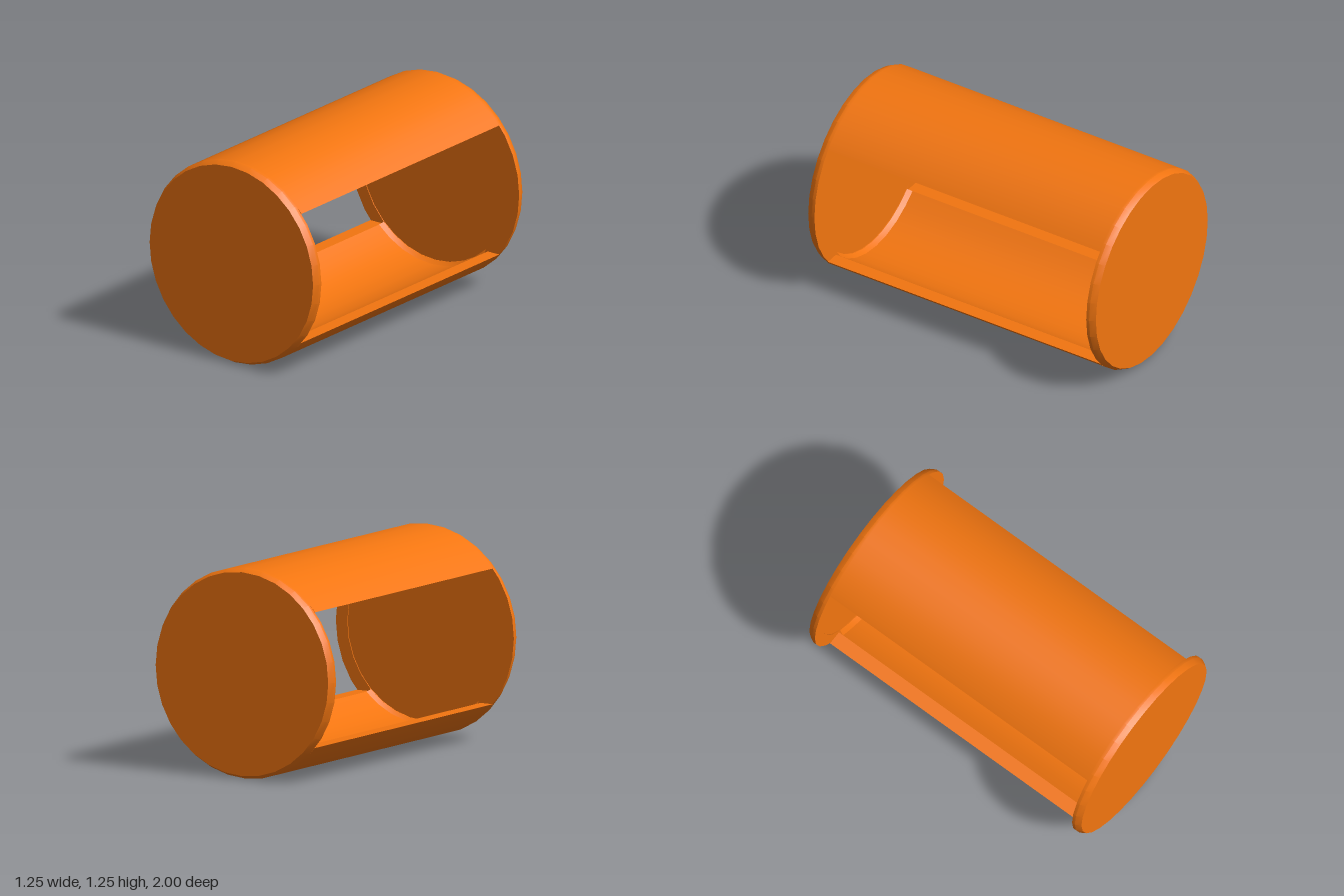
import * as THREE from 'three';
import { toCreasedNormals } from 'three/addons/utils/BufferGeometryUtils.js';

const SIDES = 32, STEP = (Math.PI * 2) / SIDES;
const R = 0.623;        // outer radius
const BORE = 0.56;      // inner radius of the walls
const CUT = 0.402;      // half height of the side windows
const INNER = 0.945;    // half length of the windows
const material = new THREE.MeshStandardMaterial({ color: 0xf27510, side: THREE.DoubleSide });

function part(name, geometry) {
  const mesh = new THREE.Mesh(toCreasedNormals(geometry, 0.5), material);
  mesh.name = name;
  return mesh;
}

// Lathe a profile of [radius, z] pairs around the z axis
function latheZ(profile, sides = SIDES, start = 0, length = Math.PI * 2) {
  const points = profile.map(([r, z]) => new THREE.Vector2(r, z));
  return new THREE.LatheGeometry(points, sides, start, length).rotateX(Math.PI / 2);
}

// Points of the upper arc at radius r, trimmed flat at y = CUT
function arc(r) {
  const limit = Math.acos(CUT / r), points = [];
  const n = Math.floor(limit / STEP);
  points.push(new THREE.Vector2(-Math.sin(limit) * r, CUT));
  for (let i = -n; i <= n; i++) {
    points.push(new THREE.Vector2(Math.sin(i * STEP) * r, Math.cos(i * STEP) * r));
  }
  points.push(new THREE.Vector2(Math.sin(limit) * r, CUT));
  return points;
}

// Curved wall with horizontal lips and a small bevel at each end of the bore
function createWall(name) {
  const wall = new THREE.Group();
  wall.name = name;
  const shape = new THREE.Shape([...arc(R), ...arc(BORE).reverse()]);
  const shell = new THREE.ExtrudeGeometry(shape, { depth: INNER * 2, bevelEnabled: false });
  wall.add(part('curvedShell', shell.translate(0, 0, -INNER)));

  const half = Math.acos(CUT / BORE);
  for (const turn of [0, Math.PI]) {
    const bevel = latheZ([[0.543, INNER], [BORE, 0.915]], 8, Math.PI - half, half * 2);
    wall.add(part('boreBevel', bevel.rotateY(turn)));
  }
  return wall;
}

export function createModel() {
  const model = new THREE.Group();
  model.name = 'openSidedDrum';
  const body = new THREE.Group();
  body.name = 'body';
  body.position.y = R;
  model.add(body);

  // Chamfered end discs, slightly recessed inside
  const capProfile = [
    [0, 0.95], [0.543, 0.95], [0.543, INNER], [R, INNER],
    [R, 0.965], [0.604, 1], [0, 1],
  ];
  body.add(part('frontCap', latheZ(capProfile)));
  body.add(part('backCap', latheZ(capProfile).rotateY(Math.PI)));

  // Upper and lower walls
  const lower = createWall('lowerWall');
  lower.rotation.z = Math.PI;
  body.add(createWall('upperWall'), lower);
  return model;
}
